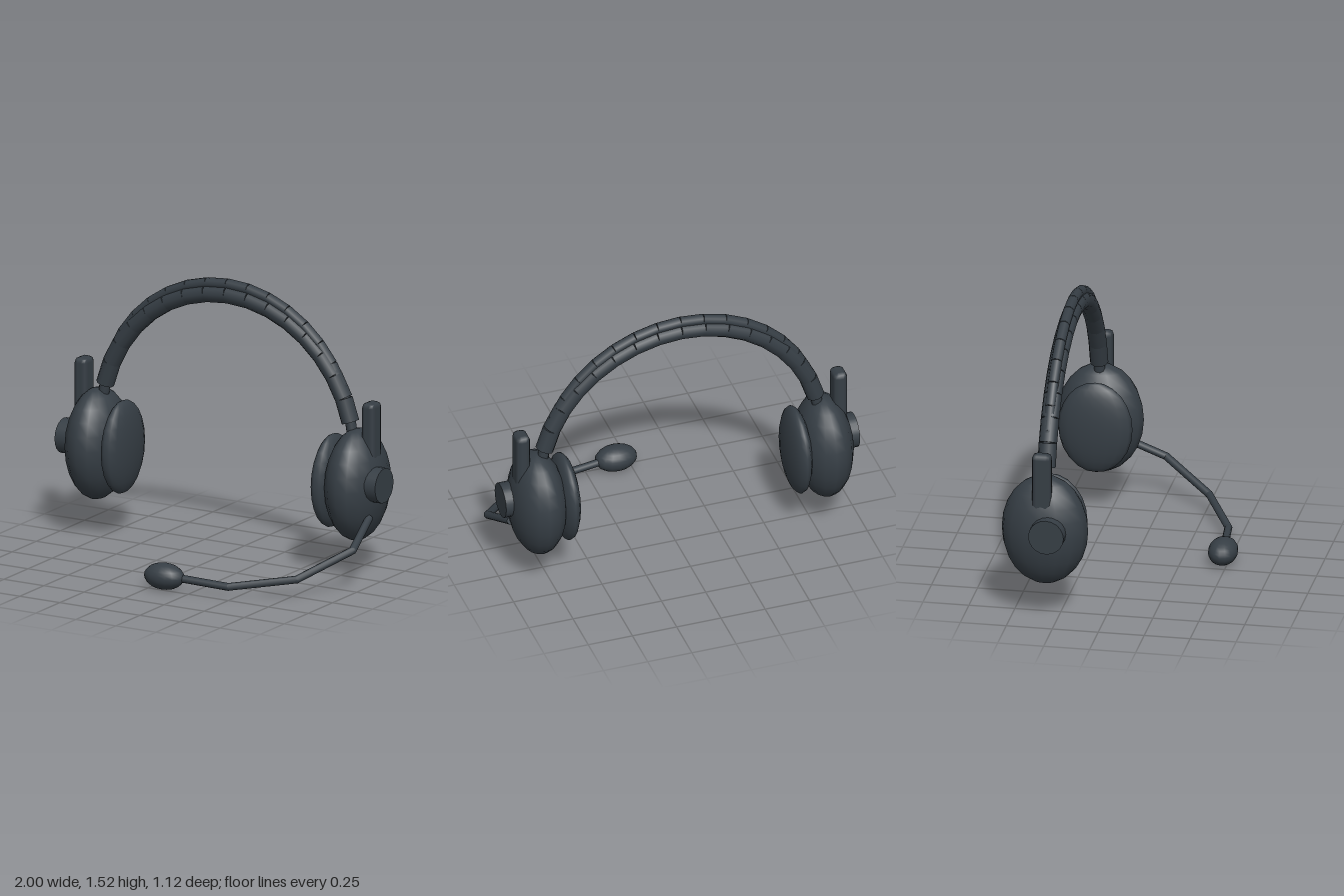
import * as THREE from 'three';
import { RoundedBoxGeometry } from 'three/addons/geometries/RoundedBoxGeometry.js';

const Z = -0.325; // depth of the headband plane

export function createModel() {
  const group = new THREE.Group();
  group.name = 'headset';
  const plastic = new THREE.MeshStandardMaterial({ color: 0x363e45 });
  plastic.name = 'dark slate plastic';

  const add = (name, geometry, x, y, z, parent = group) => {
    const mesh = new THREE.Mesh(geometry, plastic);
    mesh.name = name;
    mesh.position.set(x, y, z);
    parent.add(mesh);
    return mesh;
  };

  // Ellipsoid from its three radii
  const ellipsoid = (rx, ry, rz) => new THREE.SphereGeometry(1, 16, 12).scale(rx, ry, rz);

  // Straight rod between two points
  const up = new THREE.Vector3(0, 1, 0);
  const rod = (name, a, b, radius, parent) => {
    const dir = b.clone().sub(a);
    const mid = a.clone().add(b).multiplyScalar(0.5);
    const mesh = add(name, new THREE.CylinderGeometry(radius, radius, dir.length(), 10), mid.x, mid.y, mid.z, parent);
    mesh.quaternion.setFromUnitVectors(up, dir.normalize());
  };

  // Arch of separate straight segments, symmetric about the top
  const arch = (name, R, cy, startDeg, count, radius) => {
    const part = new THREE.Group();
    part.name = name;
    group.add(part);
    const start = THREE.MathUtils.degToRad(startDeg);
    const point = (i) => {
      const a = start + (Math.PI - 2 * start) * i / count;
      return new THREE.Vector3(R * Math.cos(a), cy + R * Math.sin(a), Z);
    };
    for (let i = 0; i < count; i++) rod(name + 'Segment', point(i), point(i + 1), radius, part);
  };
  arch('headbandPad', 0.788, 0.652, 13.8, 16, 0.05);
  arch('headbandRail', 0.778, 0.717, 5, 18, 0.03);

  // Ear pieces, mirrored
  for (const [side, s] of [['left', 1], ['right', -1]]) {
    const ear = new THREE.Group();
    ear.name = side + 'EarPiece';
    group.add(ear);
    add('earCup', ellipsoid(0.155, 0.308, 0.235), s * 0.81, 0.503, Z, ear);
    add('earCushion', ellipsoid(0.067, 0.257, 0.202), s * 0.655, 0.503, Z, ear);
    add('sliderPost', new RoundedBoxGeometry(0.08, 0.34, 0.106, 1, 0.028), s * 0.897, 0.8, Z, ear);
    const button = new THREE.CylinderGeometry(0.096, 0.096, 0.12, 20).rotateZ(Math.PI / 2);
    add('sideButton', button, s * 0.94, 0.528, -0.285, ear);
  }

  // Microphone boom and capsule
  const boom = new THREE.Group();
  boom.name = 'microphoneBoom';
  group.add(boom);
  const path = [
    [0.93, 0.35, -0.245], [0.975, 0.233, 0], [0.787, 0.108, 0.27],
    [0.46, 0.06, 0.435], [0.13, 0.078, 0.472],
  ].map((p) => new THREE.Vector3(...p));
  for (let i = 0; i < path.length - 1; i++) {
    rod('boomSegment', path[i], path[i + 1], 0.021, boom);
    if (i > 0) add('boomJoint', new THREE.SphereGeometry(0.021, 10, 8), ...path[i].toArray(), boom);
  }
  add('microphone', ellipsoid(0.117, 0.072, 0.08), 0.086, 0.077, 0.476);

  return group;
}
